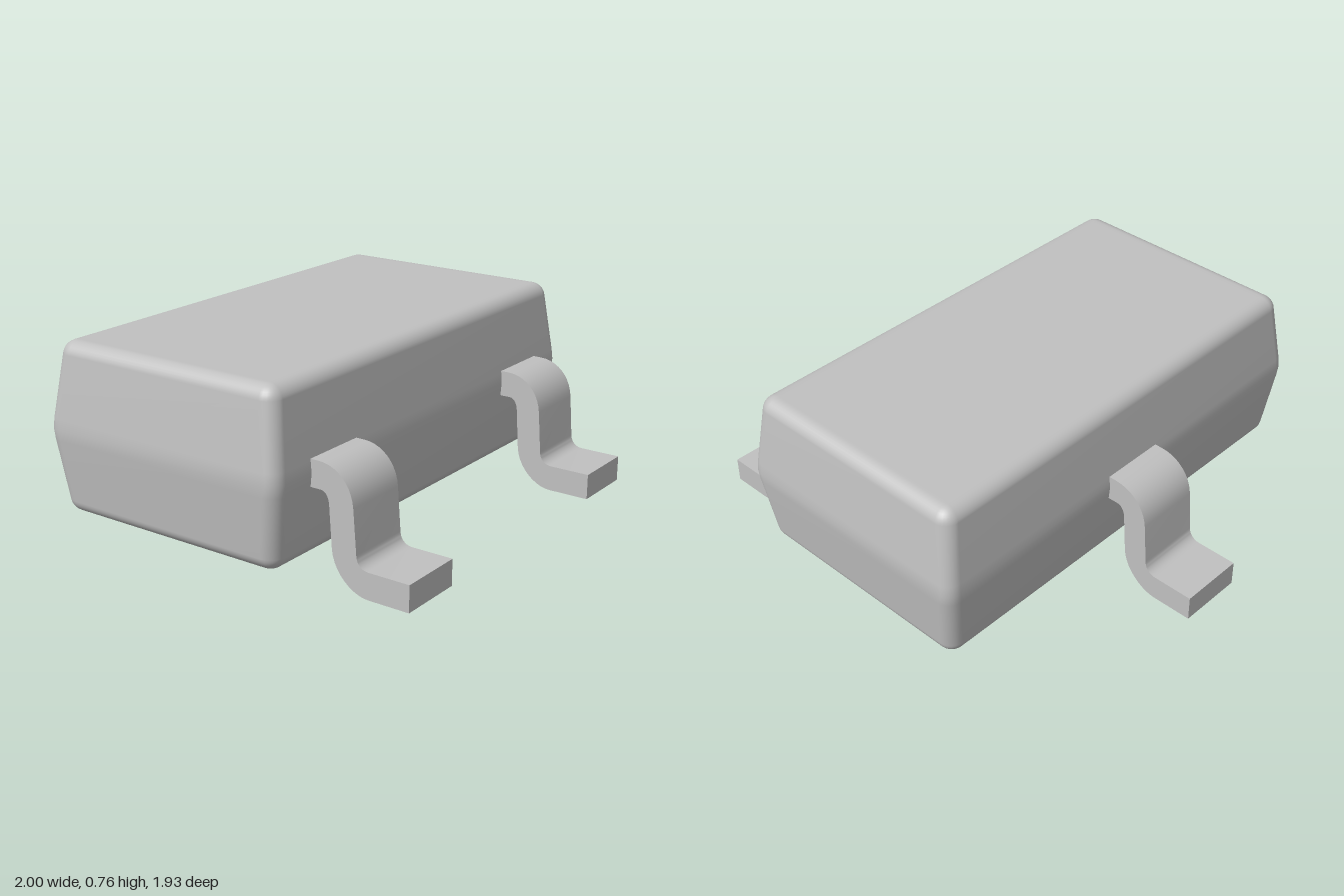
import * as THREE from 'three';
import { toCreasedNormals } from 'three/addons/utils/BufferGeometryUtils.js';

const HALF_X = 1, HALF_Z = 0.55, MID_Y = 0.4175;

// Moulded body: rounded rectangles stacked along a tapered, filleted profile
function bodyGeometry() {
  const upper = [[0, 0, 0.06], [0.004, 0.045, 0.06]]; // inset, height above middle, corner radius
  for (let i = 0; i <= 8; i++) {
    const t = THREE.MathUtils.lerp(0.14, Math.PI / 2, i / 8);
    upper.push([0.095 - 0.06 * Math.cos(t), 0.2825 + 0.06 * Math.sin(t), 0.006 + 0.054 * Math.cos(t)]);
  }
  upper.push([0.11, 0.3425, 0.004]); // flat rim keeps the end faces evenly shaded
  const lower = upper.slice(1).reverse().map(([inset, h, r]) => [inset, -h, r]);
  const rings = [...lower, ...upper];

  const STEPS = 7, N = 4 * STEPS;
  const pos = [], index = [];
  for (const [inset, h, r] of rings) {
    for (let c = 0; c < 4; c++) {
      const sx = c === 0 || c === 3 ? 1 : -1, sz = c < 2 ? 1 : -1;
      for (let k = 0; k < STEPS; k++) {
        const a = (c + k / (STEPS - 1)) * Math.PI / 2;
        pos.push(sx * (HALF_X - inset - r) + r * Math.cos(a), MID_Y + h,
          sz * (HALF_Z - inset - r) + r * Math.sin(a));
      }
    }
  }
  for (let j = 0; j < rings.length - 1; j++) {
    for (let i = 0; i < N; i++) {
      const a = j * N + i, b = j * N + (i + 1) % N;
      index.push(a, a + N, b, b, a + N, b + N);
    }
  }
  // Bottom and top faces
  const last = (rings.length - 1) * N, bottom = rings.length * N, top = bottom + 1;
  pos.push(0, MID_Y + rings[0][1], 0, 0, MID_Y + rings.at(-1)[1], 0);
  for (let i = 0; i < N; i++) {
    const n = (i + 1) % N;
    index.push(bottom, i, n, top, last + n, last + i);
  }
  const g = new THREE.BufferGeometry();
  g.setAttribute('position', new THREE.Float32BufferAttribute(pos, 3));
  g.setIndex(index);
  g.computeVertexNormals();
  return g;
}

// Gull-wing lead: side outline extruded across its width, foot towards +z
function leadGeometry() {
  const K = 0.55, width = 0.275;
  const s = new THREE.Shape();
  s.moveTo(0.5, 0.365);
  s.lineTo(0.59, 0.365);
  s.bezierCurveTo(0.61, 0.365, 0.624, 0.345, 0.626, 0.315);
  s.lineTo(0.638, 0.155);
  s.bezierCurveTo(0.645, 0.155 * (1 - K), 0.79 - 0.15 * (1 - K), 0, 0.795, 0);
  s.lineTo(0.965, 0);
  s.lineTo(0.965, 0.105);
  s.lineTo(0.795, 0.105);
  s.bezierCurveTo(0.765, 0.105, 0.745, 0.125, 0.743, 0.155);
  s.lineTo(0.729, 0.325);
  s.bezierCurveTo(0.722, 0.41, 0.66, 0.47, 0.58, 0.47);
  s.lineTo(0.5, 0.47);
  s.closePath();
  const g = new THREE.ExtrudeGeometry(s, { depth: width, bevelEnabled: false, curveSegments: 10 });
  g.translate(0, 0, -width / 2);
  g.rotateY(-Math.PI / 2);
  return toCreasedNormals(g, 0.6);
}

export function createModel() {
  const model = new THREE.Group();
  model.name = 'threeLeadChip';
  const grey = new THREE.MeshStandardMaterial({ color: 0xc0c0c0 });
  grey.name = 'light grey';

  const body = new THREE.Mesh(bodyGeometry(), grey);
  body.name = 'body';
  model.add(body);

  // Two leads at the front, one at the back
  const geometry = leadGeometry();
  for (const [name, x, turn] of [['frontLeftLead', 0.655, 0], ['frontRightLead', -0.655, 0], ['backLead', 0, Math.PI]]) {
    const lead = new THREE.Mesh(geometry, grey);
    lead.name = name;
    lead.position.x = x;
    lead.rotation.y = turn;
    model.add(lead);
  }
  return model;
}
